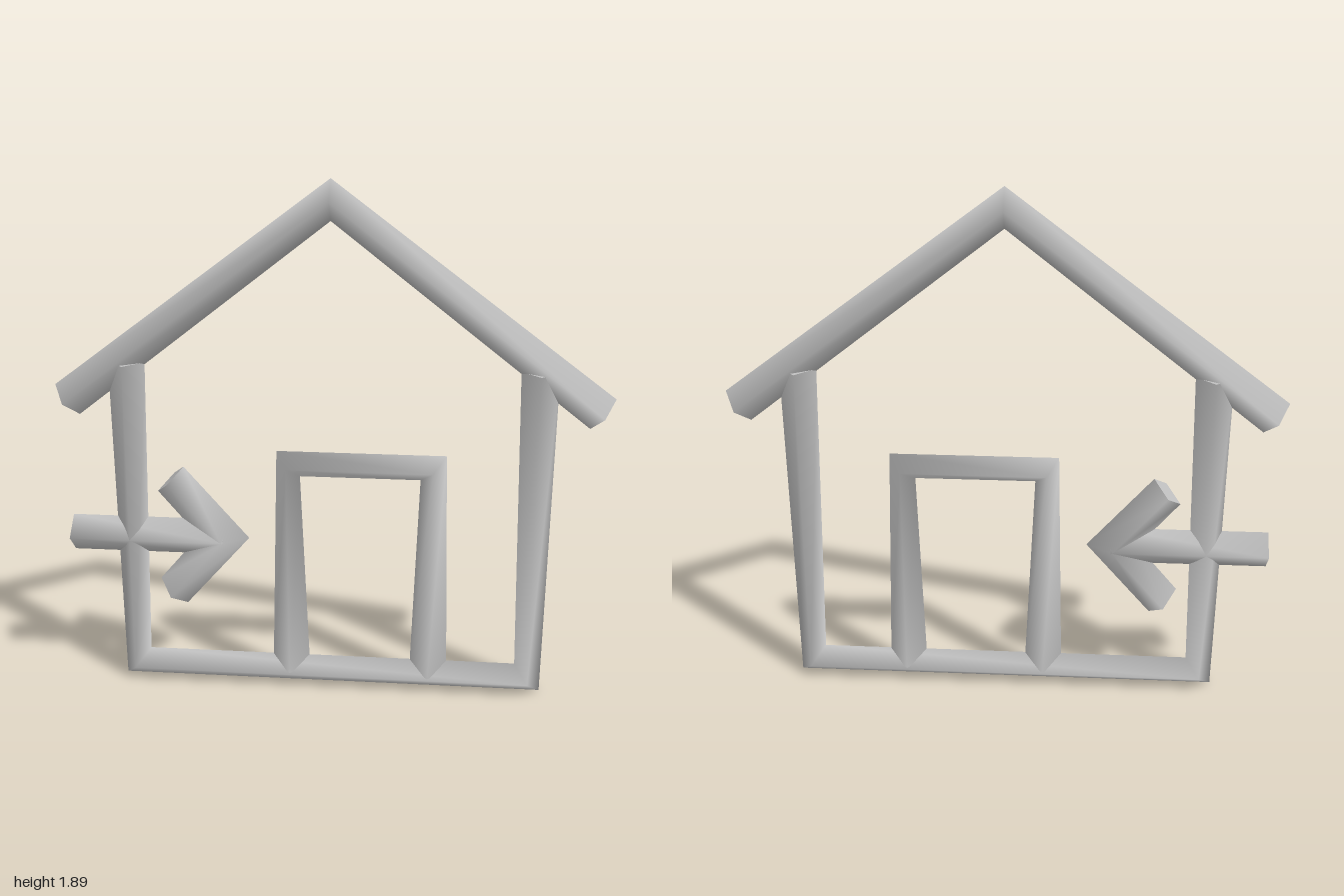
import * as THREE from 'three';

const DEPTH = 0.0725; // half thickness, front to back

// Diamond-section bar with mitred corners.
// Each station is [outerX, outerY, innerX, innerY]; the outer edge lies left of travel.
function bar(name, stations, material) {
  const pos = [];
  const index = [];
  const ring = ([ox, oy, ix, iy]) => {
    const mx = (ox + ix) / 2, my = (oy + iy) / 2;
    pos.push(ox, oy, 0, mx, my, DEPTH, ix, iy, 0, mx, my, -DEPTH);
  };
  stations.forEach(ring);
  const n = stations.length;
  for (let i = 0; i < n - 1; i++) {
    for (let j = 0; j < 4; j++) {
      const a = i * 4 + j, b = i * 4 + (j + 1) % 4;
      index.push(a, b, b + 4, a, b + 4, a + 4);
    }
  }
  // End caps use their own vertices so their edges stay crisp
  const s = n * 4, e = s + 4;
  ring(stations[0]);
  ring(stations[n - 1]);
  index.push(s, s + 3, s + 2, s, s + 2, s + 1);
  index.push(e, e + 1, e + 2, e, e + 2, e + 3);

  const geometry = new THREE.BufferGeometry();
  geometry.setAttribute('position', new THREE.Float32BufferAttribute(pos, 3));
  geometry.setIndex(index);
  geometry.computeVertexNormals();
  const mesh = new THREE.Mesh(geometry, material);
  mesh.name = name;
  return mesh;
}

export function createModel() {
  const group = new THREE.Group();
  group.name = 'houseEntrySign';
  const grey = new THREE.MeshStandardMaterial({ color: 0xc0c0c0 });
  grey.name = 'lightGrey';

  // Gable roof
  group.add(bar('roof', [
    [-1, 1.14, -0.915, 1.03],
    [0, 1.89, 0, 1.745],
    [1, 1.14, 0.915, 1.03],
  ], grey));

  // Walls and floor, narrowing towards the floor
  group.add(bar('wallsAndFloor', [
    [0.802, 1.23, 0.668, 1.23],
    [0.783, 0, 0.688, 0.105],
    [-0.783, 0, -0.688, 0.105],
    [-0.802, 1.23, -0.668, 1.23],
  ], grey));

  // Door frame standing on the floor bar
  group.add(bar('doorFrame', [
    [-0.217, 0.06, -0.078, 0.06],
    [-0.197, 0.912, -0.112, 0.818],
    [0.417, 0.912, 0.325, 0.818],
    [0.436, 0.06, 0.297, 0.06],
  ], grey));

  // Arrow through the left-hand wall
  const arrow = new THREE.Group();
  arrow.name = 'entryArrow';
  arrow.add(bar('arrowShaft', [
    [-0.96, 0.64, -0.96, 0.502],
    [-0.39, 0.64, -0.39, 0.502],
  ], grey));
  arrow.add(bar('arrowHead', [
    [-0.54, 0.84, -0.638, 0.743],
    [-0.302, 0.57, -0.49, 0.57],
    [-0.54, 0.3, -0.638, 0.397],
  ], grey));
  group.add(arrow);

  return group;
}
